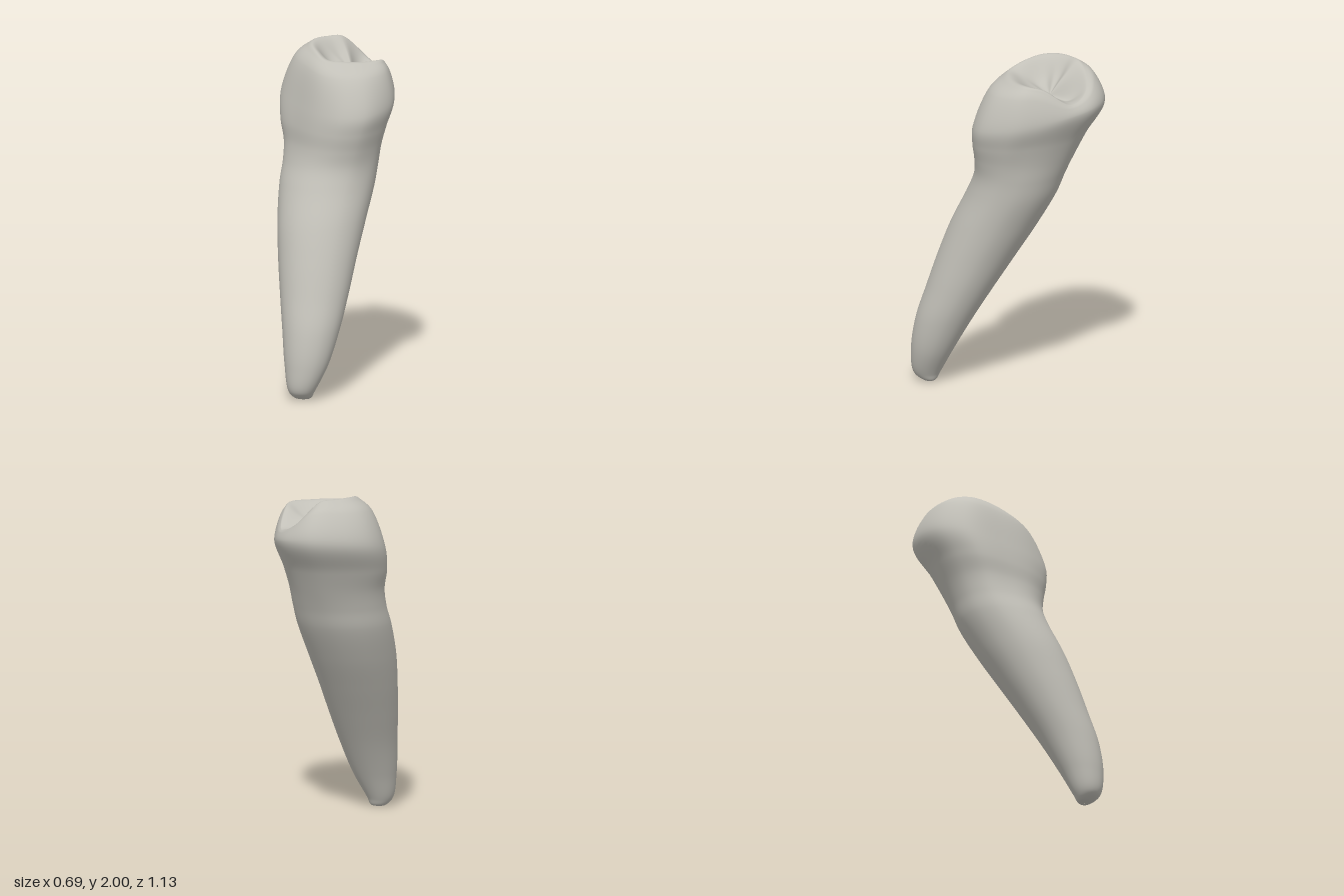
import * as THREE from 'three';

const enamel = new THREE.MeshStandardMaterial({ color: 0xc2c0b8 });
enamel.name = 'enamel';

const SIDES = 12;   // control columns around the tooth
const ROWS = 140;   // smooth rows from root tip to chewing surface
const SEGS = 72;    // smooth segments around

// Unit outline of the crown, from +x towards +z
const CROWN = [
  [0.99, 0.05], [0.97, 0.46], [0.65, 0.9], [0.24, 1], [-0.2, 0.84], [-0.64, 0.44],
  [-0.99, -0.06], [-0.9, -0.48], [-0.52, -0.81], [0.08, -1], [0.55, -0.83], [0.84, -0.45],
];

// Sections: y, min x, max x, min z, max z, share of crown outline, rise towards the back
const SECTIONS = [
  [0.0, -0.132, -0.128, 0.453, 0.457, 0, 0],
  [0.008, -0.175, -0.085, 0.42, 0.495, 0, 0],
  [0.05, -0.213, -0.06, 0.395, 0.55, 0, 0],
  [0.2, -0.24, 0.015, 0.318, 0.567, 0, 0],
  [0.4, -0.262, 0.075, 0.205, 0.54, 0, 0],
  [0.6, -0.287, 0.117, 0.08, 0.477, 0, 0],
  [0.8, -0.31, 0.153, -0.05, 0.41, 0, 0],
  [1.0, -0.326, 0.193, -0.178, 0.333, 0, 0],
  [1.2, -0.328, 0.235, -0.29, 0.24, 0.2, 0],
  [1.32, -0.315, 0.253, -0.337, 0.2, 0.5, 0],
  [1.43, -0.315, 0.27, -0.392, 0.2, 0.8, 0.01],
  [1.55, -0.34, 0.3, -0.463, 0.212, 1, 0.03],
  [1.7, -0.343, 0.339, -0.567, 0.21, 1, 0.07],
];

// Crest of the cusps and ridges around the chewing surface
const RIM = [
  [0.26, 1.9, -0.2], [0.25, 1.92, -0.11], [0.16, 1.92, -0.04], [0.05, 1.925, -0.01],
  [-0.05, 1.932, -0.02], [-0.115, 1.965, -0.1], [-0.15, 1.99, -0.2], [-0.135, 2.0, -0.29],
  [-0.08, 2.0, -0.36], [0.0, 1.992, -0.41], [0.13, 1.86, -0.45], [0.245, 1.805, -0.36],
].map((p) => new THREE.Vector3(...p));

function section([y, x0, x1, z0, z1, crown, rise]) {
  return CROWN.map(([u, v], i) => {
    const a = (i / SIDES) * Math.PI * 2;
    const px = THREE.MathUtils.lerp(Math.cos(a), u, crown);
    const pz = THREE.MathUtils.lerp(Math.sin(a), v, crown);
    return new THREE.Vector3((x0 + x1 + px * (x1 - x0)) / 2, y - rise * pz, (z0 + z1 + pz * (z1 - z0)) / 2);
  });
}

// Ring between two rings, with separate shares for plan and height
function between(a, b, plan, height) {
  return a.map((p, i) => {
    const q = p.clone().lerp(b[i], plan);
    q.y = THREE.MathUtils.lerp(p.y, b[i].y, height);
    return q;
  });
}

function toothGeometry() {
  const rings = SECTIONS.map(section);
  const belly = rings[rings.length - 1];
  const pit = RIM.map((p) => new THREE.Vector3(0.08, 1.815, -0.24).lerp(p, 0.01));

  // Rounded shoulder, crest, sloping basin wall and pit
  const wall = between(RIM, pit, 0.5, 0.55);
  wall[5].y -= 0.03;  // hollow beside the front ridge
  wall[6].y -= 0.03;
  wall[9].y += 0.02;  // ridge running down from the back cusp
  wall[10].y = 1.79;  // groove running out to the low back corner
  rings.push(between(belly, RIM, 0.42, 0.73), between(belly, RIM, 0.76, 0.93), RIM, wall, pit);

  // Smooth along each column, then around each row
  const columns = RIM.map((_, i) => new THREE.CatmullRomCurve3(rings.map((r) => r[i])));
  const positions = [];
  for (let r = 0; r <= ROWS; r++) {
    const row = new THREE.CatmullRomCurve3(columns.map((c) => c.getPoint(r / ROWS)), true);
    for (let s = 0; s < SEGS; s++) positions.push(...row.getPoint(s / SEGS).toArray());
  }

  const index = [];
  for (let r = 0; r < ROWS; r++) {
    for (let s = 0; s < SEGS; s++) {
      const a = r * SEGS + s;
      const b = r * SEGS + ((s + 1) % SEGS);
      index.push(a, a + SEGS, b, b, a + SEGS, b + SEGS);
    }
  }
  const geometry = new THREE.BufferGeometry();
  geometry.setAttribute('position', new THREE.Float32BufferAttribute(positions, 3));
  geometry.setIndex(index);
  geometry.computeVertexNormals();
  return geometry;
}

export function createModel() {
  const group = new THREE.Group();
  group.name = 'tooth';
  const body = new THREE.Mesh(toothGeometry(), enamel);
  body.name = 'crownAndRoot';
  group.add(body);
  return group;
}
